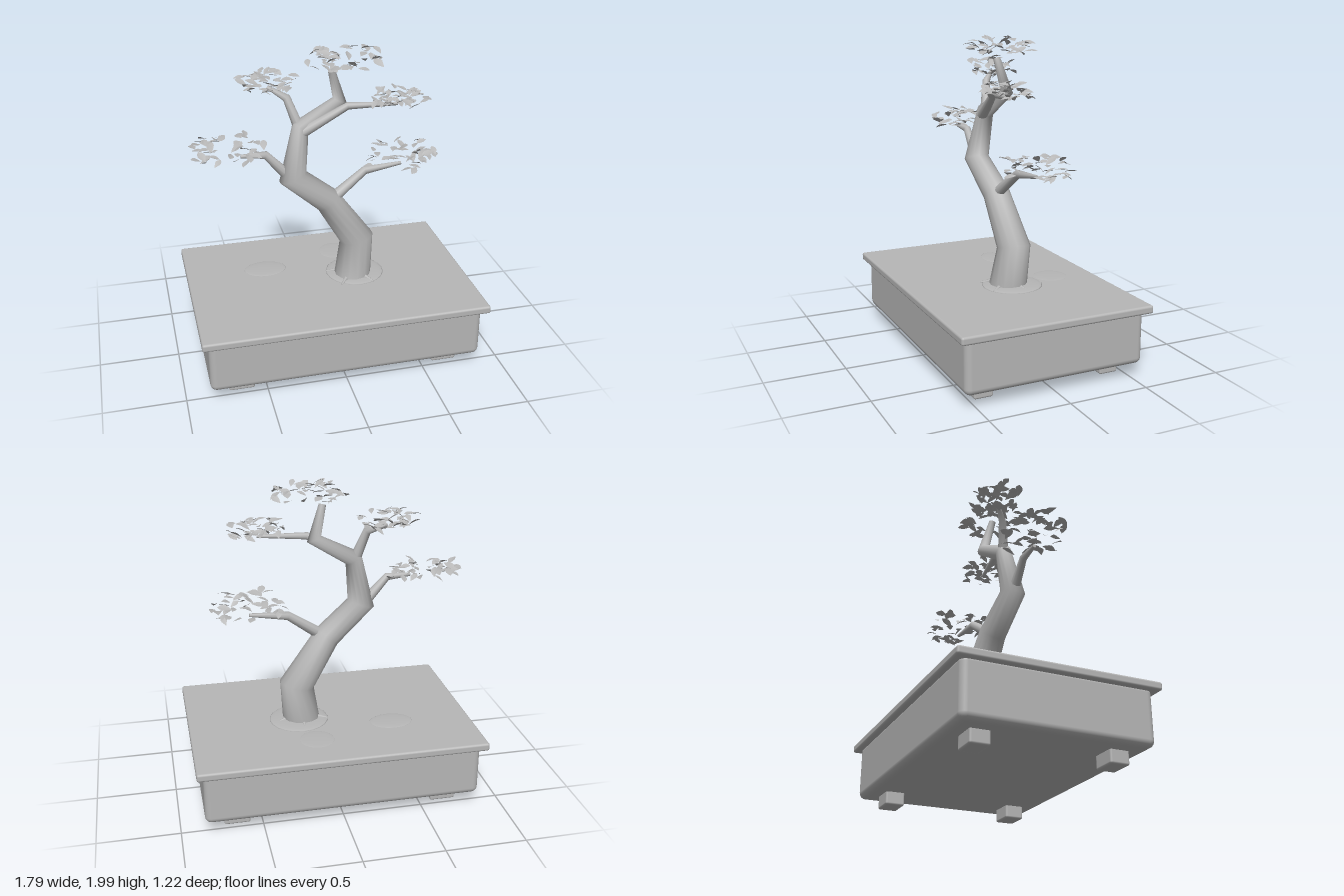
import * as THREE from 'three';
import { mergeGeometries } from 'three/addons/utils/BufferGeometryUtils.js';
import { RoundedBoxGeometry } from 'three/addons/geometries/RoundedBoxGeometry.js';

// Small seeded generator for leaf placement
let seed = 7;
function rand() {
  seed = (seed * 16807) % 2147483647;
  return seed / 2147483647;
}
const spread = (a) => (rand() * 2 - 1) * a;

// Tapering limb with mitred joints; points are [x, y, z, radius]
function limbGeometry(points, sides = 12) {
  const centres = points.map((p) => new THREE.Vector3(p[0], p[1], p[2]));
  const pos = [];
  const idx = [];
  const last = points.length - 1;
  centres.forEach((c, i) => {
    const before = c.clone().sub(centres[Math.max(i - 1, 0)]).normalize();
    const after = centres[Math.min(i + 1, last)].clone().sub(c).normalize();
    const t = before.clone().add(after).normalize();
    const u = new THREE.Vector3(0, 0, 1).addScaledVector(t, -t.z).normalize();
    const mitre = i > 0 && i < last ? 1 / before.dot(t) : 1;
    const w = t.clone().cross(u).multiplyScalar(mitre);
    for (let j = 0; j < sides; j++) {
      const a = (j / sides) * Math.PI * 2;
      const v = c.clone()
        .addScaledVector(u, Math.cos(a) * points[i][3])
        .addScaledVector(w, Math.sin(a) * points[i][3]);
      pos.push(v.x, v.y, v.z);
      if (i < last) {
        const p = i * sides + j;
        const q = i * sides + ((j + 1) % sides);
        idx.push(p, q, p + sides, q, q + sides, p + sides);
      }
    }
  });
  // End cap on its own vertices so its rim stays sharp
  const cap = pos.length / 3;
  pos.push(...pos.slice(-sides * 3));
  for (let j = 1; j < sides - 1; j++) idx.push(cap, cap + j, cap + j + 1);
  const g = new THREE.BufferGeometry();
  g.setAttribute('position', new THREE.Float32BufferAttribute(pos, 3));
  g.setIndex(idx);
  g.computeVertexNormals();
  return g;
}

// Pointed leaf lying along +x, lightly folded on its midrib and drooping at the tip
function leafGeometry() {
  const length = 0.085;
  const widths = [0.001, 0.016, 0.023, 0.02, 0.011, 0.0005];
  const pos = [];
  const idx = [];
  widths.forEach((w, i) => {
    const t = i / (widths.length - 1);
    const x = (t - 0.5) * length;
    const y = -0.012 * t * t;
    pos.push(x, y + w * 0.2, -w, x, y, 0, x, y + w * 0.2, w);
    if (i < widths.length - 1) {
      for (let k = 0; k < 2; k++) {
        const a = i * 3 + k;
        idx.push(a, a + 1, a + 3, a + 1, a + 4, a + 3);
      }
    }
  });
  const g = new THREE.BufferGeometry();
  g.setAttribute('position', new THREE.Float32BufferAttribute(pos, 3));
  g.setIndex(idx);
  g.computeVertexNormals();
  return g;
}

// Flat cloud of leaves filling an ellipsoid
function foliageGeometry(centre, size, count) {
  const leaf = leafGeometry();
  const leaves = [];
  for (let i = 0; i < count; i++) {
    const angle = rand() * Math.PI * 2;
    const r = Math.sqrt(rand());
    const m = new THREE.Matrix4().makeRotationFromEuler(
      new THREE.Euler(spread(0.45), rand() * Math.PI * 2, spread(0.45), 'YXZ'));
    const s = 0.75 + rand() * 0.3;
    m.scale(new THREE.Vector3(s, s, s));
    m.setPosition(
      centre[0] + Math.cos(angle) * r * size[0],
      centre[1] + spread(size[1]) * Math.sqrt(1.05 - r * r * 0.7),
      centre[2] + Math.sin(angle) * r * size[2]);
    leaves.push(leaf.clone().applyMatrix4(m));
  }
  return mergeGeometries(leaves);
}

export function createModel() {
  const model = new THREE.Group();
  const grey = new THREE.MeshStandardMaterial({ color: 0xb6b6b6, side: THREE.DoubleSide });
  grey.name = 'plain grey';

  function add(name, geometry, x = 0, y = 0, z = 0) {
    const mesh = new THREE.Mesh(geometry, grey);
    mesh.name = name;
    mesh.position.set(x, y, z);
    model.add(mesh);
    return mesh;
  }

  // Tray pot with rim and four feet
  add('potBody', new RoundedBoxGeometry(1.71, 0.35, 1.14, 4, 0.04), 0, 0.255, 0);
  add('potRim', new RoundedBoxGeometry(1.79, 0.05, 1.22, 3, 0.014), 0, 0.425, 0);
  for (const x of [-0.655, 0.655]) {
    for (const z of [-0.41, 0.41]) {
      add('potFoot', new RoundedBoxGeometry(0.16, 0.09, 0.12, 2, 0.012), x, 0.045, z);
    }
  }

  // Low soil mounds
  const mounds = [[0.19, -0.03, 0.19, 0.19, 0.016], [-0.38, -0.19, 0.14, 0.1, 0.007],
    [0.13, -0.33, 0.11, 0.11, 0.005]];
  for (const [x, z, rx, rz, h] of mounds) {
    const dome = new THREE.SphereGeometry(1, 20, 6, 0, Math.PI * 2, 0, Math.PI / 2);
    add('soilMound', dome.scale(rx, h, rz), x, 0.449, z);
  }

  // Surface roots
  for (let i = 0; i < 5; i++) {
    const a = i * 1.257 + 0.3;
    const c = Math.cos(a);
    const s = Math.sin(a);
    add('root', limbGeometry([
      [0.17 + c * 0.06, 0.468, -0.01 - s * 0.06, 0.02],
      [0.17 + c * 0.18, 0.45, -0.01 - s * 0.18, 0.004]], 8));
  }

  // Winding trunk
  add('trunk', limbGeometry([
    [0.17, 0.44, -0.01, 0.118], [0.2, 0.7, -0.035, 0.103], [0, 1.0, -0.01, 0.084],
    [-0.225, 1.195, 0.025, 0.076], [-0.165, 1.5, -0.01, 0.052],
    [0.085, 1.645, -0.04, 0.036], [0.025, 1.845, 0, 0.022]], 14));

  // Branches
  const branches = {
    lowerLeftBranch: [[0.02, 1.0, 0, 0.038], [0.25, 1.165, -0.035, 0.026], [0.49, 1.19, -0.04, 0.011]],
    lowerRightBranch: [[-0.24, 1.19, 0.02, 0.036], [-0.39, 1.355, 0.02, 0.023], [-0.54, 1.36, 0.02, 0.011]],
    upperRightBranch: [[-0.165, 1.47, -0.01, 0.036], [-0.24, 1.68, -0.05, 0.024], [-0.34, 1.73, -0.13, 0.011]],
    upperLeftBranch: [[-0.17, 1.47, 0.01, 0.036], [0.11, 1.638, 0.06, 0.022], [0.41, 1.642, 0.1, 0.01]],
  };
  for (const [name, points] of Object.entries(branches)) add(name, limbGeometry(points, 10));

  // Leaf clouds at the branch ends
  add('lowerLeftFoliage', foliageGeometry([0.49, 1.25, -0.03], [0.23, 0.065, 0.2], 48));
  add('lowerRightFoliage', foliageGeometry([-0.6, 1.41, 0], [0.24, 0.06, 0.18], 48));
  add('upperRightFoliage', foliageGeometry([-0.34, 1.77, -0.14], [0.17, 0.06, 0.14], 48));
  add('upperLeftFoliage', foliageGeometry([0.42, 1.69, 0.12], [0.18, 0.05, 0.14], 48));
  add('crownFoliage', foliageGeometry([0.1, 1.925, 0.02], [0.23, 0.06, 0.19], 48));

  return model;
}
